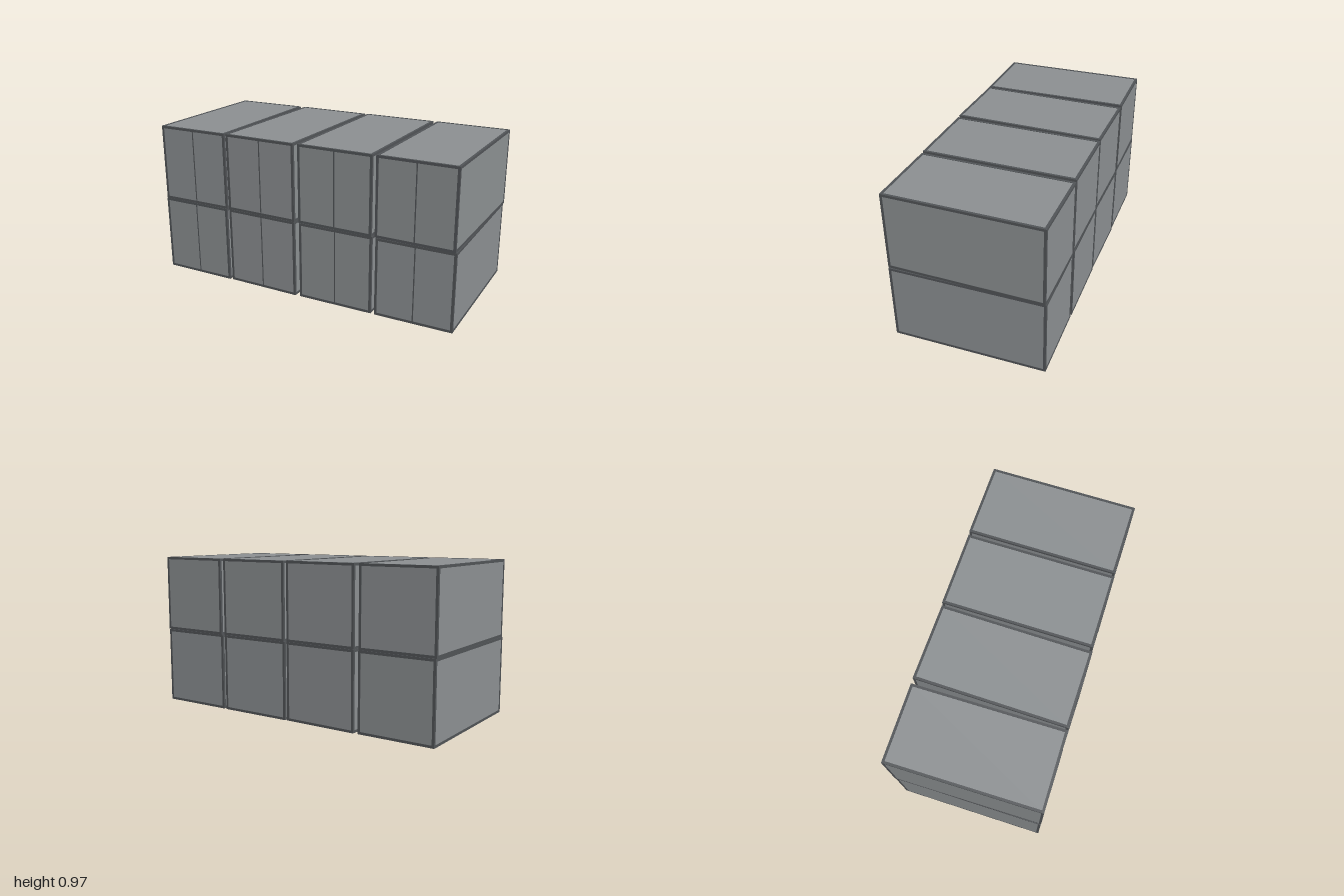
import * as THREE from 'three';

const W = 0.479, H = 0.483, L = 0.932; // one container
const RAIL = 0.015, INSET = 0.002;

const panelMat = new THREE.MeshStandardMaterial({ color: 0x8a8e90 });
const frameMat = new THREE.MeshStandardMaterial({ color: 0x505356 });

function box(name, size, pos, mat) {
  const mesh = new THREE.Mesh(new THREE.BoxGeometry(...size), mat);
  mesh.name = name;
  mesh.position.set(...pos);
  return mesh;
}

function createContainer() {
  const g = new THREE.Group();
  g.name = 'container';

  // Closed body, set slightly behind the frame
  g.add(box('body', [W - 2 * INSET, H - 2 * INSET, L - 2 * INSET], [0, H / 2, 0], panelMat));

  // Twelve frame members: four along each axis
  const x = (W - RAIL) / 2, y = (H - RAIL) / 2, z = (L - RAIL) / 2;
  for (const a of [-1, 1]) {
    for (const b of [-1, 1]) {
      g.add(box('cornerPost', [RAIL, H, RAIL], [a * x, H / 2, b * z], frameMat));
      g.add(box('sideRail', [RAIL, RAIL, L - 2 * RAIL], [a * x, H / 2 + b * y, 0], frameMat));
      g.add(box('endRail', [W - 2 * RAIL, RAIL, RAIL], [0, H / 2 + a * y, b * z], frameMat));
    }
  }

  // Seam between the two front doors
  g.add(box('doorSeam', [0.007, H - 2 * RAIL, 0.004], [0, H / 2, L / 2 - 0.002], frameMat));
  return g;
}

export function createModel() {
  const model = new THREE.Group();
  model.name = 'containerStack';

  // Centre x and small yaw of each container, bottom row then top row
  const rows = [
    [[-0.753, -0.003], [-0.252, -0.016], [0.249, 0.002], [0.75, 0.005]],
    [[-0.753, 0.006], [-0.252, -0.016], [0.249, -0.007], [0.75, -0.01]],
  ];
  rows.forEach((row, level) => {
    for (const [x, yaw] of row) {
      const c = createContainer();
      c.position.set(x, level * (H + 0.001), 0);
      c.rotation.y = yaw;
      model.add(c);
    }
  });
  return model;
}
